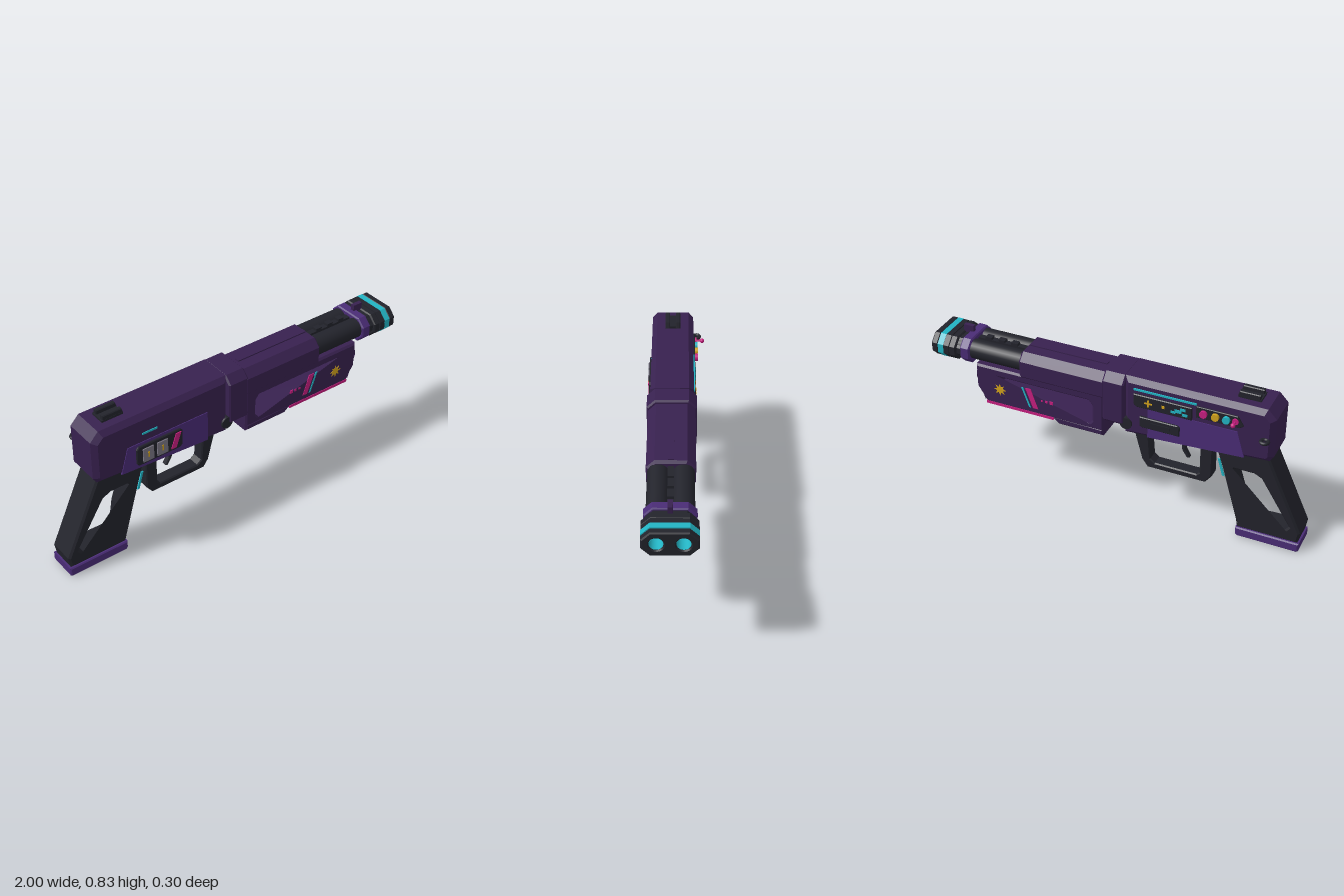
import * as THREE from 'three';

const mat = (name, color) => {
  const m = new THREE.MeshStandardMaterial({ color });
  m.name = name;
  return m;
};

export function createModel() {
  const purple = mat('deep purple', 0x38214f);
  const violet = mat('violet', 0x4a2c76);
  const black = mat('charcoal', 0x22232b);
  const teal = mat('teal', 0x22b4c4);
  teal.side = THREE.DoubleSide;
  const pink = mat('pink', 0xc81f80);
  const gold = mat('gold', 0xd4a41c);
  const grey = mat('grey', 0x7a7684);

  const model = new THREE.Group();
  model.name = 'toyBlaster';
  const body = new THREE.Group();
  body.name = 'body';
  body.position.z = 0.017;
  model.add(body);

  const add = (name, geo, material, x = 0, y = 0, z = 0) => {
    const mesh = new THREE.Mesh(geo, material);
    mesh.name = name;
    mesh.position.set(x, y, z);
    body.add(mesh);
    return mesh;
  };
  const vecs = pts => pts.map(p => new THREE.Vector2(p[0], p[1]));
  const extrude = (shape, depth, bevel) => new THREE.ExtrudeGeometry(shape, {
    depth: depth - 2 * bevel, bevelEnabled: bevel > 0, bevelThickness: bevel,
    bevelSize: bevel, bevelOffset: -bevel, bevelSegments: 1, curveSegments: 20,
  }).translate(0, 0, bevel - depth / 2);

  // Side outline (x, y) given thickness across z
  const profile = (name, pts, width, bevel, material, hole, z = 0) => {
    const shape = new THREE.Shape(vecs(pts));
    if (hole) shape.holes.push(new THREE.Path(vecs(hole)));
    return add(name, extrude(shape, width, bevel), material, 0, 0, z);
  };
  const box = (name, x0, x1, y0, y1, z0, z1, material) =>
    add(name, new THREE.BoxGeometry(x1 - x0, y1 - y0, z1 - z0), material,
      (x0 + x1) / 2, (y0 + y1) / 2, (z0 + z1) / 2);
  // Chamfered cross-section run along x
  const section = (name, x0, x1, y0, y1, half, ct, cb, bevel, material, bores) => {
    const shape = new THREE.Shape(vecs([
      [-half + cb, y0], [half - cb, y0], [half, y0 + cb], [half, y1 - ct],
      [half - ct, y1], [-half + ct, y1], [-half, y1 - ct], [-half, y0 + cb]]));
    if (bores) for (const s of [-1, 1])
      shape.holes.push(new THREE.Path().absarc(s * 0.06, 0.71, 0.033, 0, Math.PI * 2, true));
    return add(name, extrude(shape, x1 - x0, bevel).rotateY(Math.PI / 2), material, (x0 + x1) / 2);
  };
  const rod = (name, r, len, axis, x, y, z, material, sides = 20) => {
    const g = new THREE.CylinderGeometry(r, r, len, sides);
    if (axis === 'x') g.rotateZ(Math.PI / 2);
    if (axis === 'z') g.rotateX(Math.PI / 2);
    return add(name, g, material, x, y, z);
  };
  const bothSides = fn => [-1, 1].forEach(fn);

  // Receiver and collar
  profile('receiver', [[-0.82, 0.51], [-0.07, 0.465], [-0.07, 0.797], [-0.795, 0.797],
    [-0.84, 0.75], [-0.84, 0.54]], 0.216, 0.025, purple);
  section('collar', -0.075, 0.04, 0.515, 0.795, 0.123, 0.04, 0.02, 0.008, purple);
  rod('hingePin', 0.032, 0.236, 'z', -0.085, 0.535, 0, black);
  bothSides(s => profile('sidePanel', [[-0.70, 0.512], [-0.2, 0.483], [-0.2, 0.65], [-0.66, 0.65]],
    0.008, 0, violet, null, s * 0.108));

  // Rear sight
  box('rearSightBase', -0.745, -0.63, 0.79, 0.808, -0.04, 0.04, black);
  bothSides(s => profile('rearSightEar', [[-0.74, 0.80], [-0.625, 0.80], [-0.635, 0.83], [-0.74, 0.83]],
    0.024, 0.004, black, null, s * 0.027));

  // Upper forend, twin barrels and rib
  section('forend', 0.03, 0.505, 0.64, 0.78, 0.116, 0.04, 0.015, 0.012, purple);
  box('forendRib', 0.06, 0.49, 0.77, 0.786, -0.014, 0.014, purple);
  bothSides(s => rod('barrel', 0.052, 0.42, 'x', 0.69, 0.714, s * 0.058, black, 24));
  box('barrelRib', 0.5, 0.85, 0.70, 0.757, -0.015, 0.015, black);
  for (let x = 0.56; x < 0.78; x += 0.074)
    box('ribTooth', x, x + 0.036, 0.75, 0.77, -0.015, 0.015, black);

  // Front clamp and sight
  section('barrelClamp', 0.785, 0.838, 0.64, 0.778, 0.12, 0.04, 0.04, 0.006, violet);
  box('frontSight', 0.815, 0.87, 0.765, 0.81, -0.011, 0.011, purple);

  // Muzzle with teal-lined bores
  section('muzzleNeck', 0.836, 0.865, 0.655, 0.768, 0.115, 0.04, 0.04, 0, black);
  section('muzzleRear', 0.86, 0.90, 0.645, 0.776, 0.128, 0.042, 0.042, 0.006, black);
  section('muzzleMiddle', 0.90, 0.93, 0.645, 0.776, 0.128, 0.042, 0.042, 0, black, true);
  section('muzzleBand', 0.93, 0.962, 0.644, 0.777, 0.129, 0.042, 0.042, 0, teal, true);
  section('muzzleFront', 0.962, 1.0, 0.645, 0.776, 0.128, 0.042, 0.042, 0.006, black, true);
  bothSides(s => add('boreLining', new THREE.CylinderGeometry(0.032, 0.032, 0.094, 24, 1, true)
    .rotateZ(Math.PI / 2), teal, 0.947, 0.71, s * 0.06));

  // Open lower frame
  profile('lowerFrame', [[0.04, 0.44], [0.705, 0.44], [0.757, 0.52], [0.757, 0.655], [0.04, 0.655]],
    0.212, 0.01, purple,
    [[0.105, 0.49], [0.125, 0.465], [0.705, 0.465], [0.745, 0.585], [0.732, 0.605], [0.125, 0.605], [0.105, 0.58]]);
  profile('frameFoot', [[0.045, 0.41], [0.295, 0.41], [0.335, 0.45], [0.045, 0.45]], 0.204, 0.01, purple);
  bothSides(s => {
    box('frameTrim', 0.32, 0.705, 0.434, 0.449, s * 0.104 - 0.004, s * 0.104 + 0.004, pink);
    // Window decorations
    const z = s * 0.106;
    profile('pinkStripe', [[0.405, 0.475], [0.435, 0.475], [0.475, 0.585], [0.445, 0.585]], 0.004, 0, pink, null, z);
    profile('tealStripe', [[0.447, 0.475], [0.457, 0.475], [0.498, 0.585], [0.488, 0.585]], 0.004, 0, teal, null, z);
    [[0.33, 0.018], [0.357, 0.012], [0.383, 0.01]].forEach(([x, w]) =>
      box('pinkDot', x - w / 2, x + w / 2, 0.532 - w / 2, 0.532 + w / 2, z - 0.002, z + 0.002, pink));
    const star = [];
    for (let i = 0; i < 16; i++) {
      const r = i % 2 ? 0.017 : 0.035, a = i * Math.PI / 8;
      star.push([0.623 + r * Math.cos(a), 0.535 + r * Math.sin(a)]);
    }
    profile('goldStar', star, 0.004, 0, gold, null, z);
  });

  // Skeleton grip
  profile('grip', [[-1.0, 0.11], [-0.99, 0.05], [-0.675, 0.05], [-0.645, 0.21], [-0.553, 0.475],
    [-0.565, 0.51], [-0.81, 0.52]], 0.148, 0.01, black,
    [[-0.94, 0.135], [-0.91, 0.098], [-0.685, 0.09], [-0.663, 0.22], [-0.615, 0.375], [-0.645, 0.40],
      [-0.745, 0.40], [-0.785, 0.38]]);
  profile('gripBase', [[-1.0, 0.008], [-0.99, 0], [-0.68, 0], [-0.67, 0.01], [-0.67, 0.052], [-1.0, 0.052]],
    0.16, 0.006, violet);
  bothSides(s => profile('gripStreak', [[-0.597, 0.345], [-0.585, 0.345], [-0.558, 0.44], [-0.57, 0.44]],
    0.006, 0, teal, null, s * 0.074));

  // Trigger guard and trigger
  profile('triggerGuard', [[-0.515, 0.47], [-0.515, 0.285], [-0.48, 0.24], [-0.17, 0.24], [-0.14, 0.28],
    [-0.085, 0.48], [-0.17, 0.48], [-0.185, 0.295], [-0.21, 0.275], [-0.435, 0.275], [-0.45, 0.29],
    [-0.45, 0.47]], 0.068, 0.006, black);
  box('guardMount', -0.515, -0.45, 0.46, 0.50, -0.034, 0.034, black);
  profile('trigger', [[-0.385, 0.50], [-0.35, 0.50], [-0.343, 0.43], [-0.348, 0.385], [-0.375, 0.345],
    [-0.388, 0.35], [-0.365, 0.39], [-0.362, 0.43]], 0.03, 0.004, black);

  // Switch panel on the front side
  profile('switchPlate', [[-0.617, 0.54], [-0.605, 0.525], [-0.37, 0.525], [-0.355, 0.54], [-0.355, 0.622],
    [-0.367, 0.635], [-0.605, 0.635], [-0.617, 0.62]], 0.02, 0.004, black, null, 0.112);
  [-0.555, -0.475].forEach(x => {
    box('switchKey', x - 0.03, x + 0.03, 0.54, 0.617, 0.115, 0.128, grey);
    box('keyMark', x - 0.004, x + 0.004, 0.563, 0.595, 0.126, 0.130, gold);
  });
  profile('panelSlash', [[-0.425, 0.54], [-0.395, 0.54], [-0.365, 0.622], [-0.395, 0.622]], 0.006, 0, pink, null, 0.123);
  box('frontDash', -0.575, -0.49, 0.69, 0.70, 0.106, 0.112, teal);

  // Display, slot and controls on the rear side
  box('rearLine', -0.45, -0.125, 0.741, 0.751, -0.114, -0.106, teal);
  profile('display', [[-0.43, 0.65], [-0.14, 0.65], [-0.125, 0.665], [-0.125, 0.722], [-0.43, 0.722]],
    0.016, 0.004, black, null, -0.11);
  box('displayCrossBar', -0.225, -0.185, 0.682, 0.69, -0.121, -0.117, gold);
  box('displayCrossPost', -0.209, -0.201, 0.666, 0.706, -0.121, -0.117, gold);
  box('displayDot', -0.29, -0.275, 0.68, 0.695, -0.121, -0.117, gold);
  [[-0.36, 0.685, 0.018], [-0.385, 0.70, 0.014], [-0.395, 0.672, 0.014], [-0.335, 0.675, 0.012]].forEach(([x, y, w]) =>
    box('displayPixel', x - w, x + w, y - w / 2, y + w / 2, -0.121, -0.117, teal));
  profile('slotCover', [[-0.37, 0.54], [-0.17, 0.54], [-0.16, 0.55], [-0.16, 0.60], [-0.36, 0.60], [-0.37, 0.59]],
    0.02, 0.004, black, null, -0.112);
  box('slotKey', -0.32, -0.22, 0.56, 0.58, -0.126, -0.12, black);
  profile('controlStrip', [[-0.69, 0.69], [-0.67, 0.675], [-0.45, 0.675], [-0.45, 0.738], [-0.66, 0.738]],
    0.012, 0.003, black, null, -0.11);
  [[-0.49, pink], [-0.55, gold], [-0.605, teal]].forEach(([x, m]) =>
    rod('button', 0.019, 0.018, 'z', x, 0.708, -0.122, m, 16));
  rod('stickCollar', 0.016, 0.01, 'z', -0.65, 0.71, -0.119, pink, 16);
  rod('stickShaft', 0.005, 0.03, 'z', -0.65, 0.71, -0.135, pink, 10);
  add('stickBall', new THREE.SphereGeometry(0.012, 14, 10), pink, -0.65, 0.71, -0.154);

  // Strap loop
  add('strapLoop', new THREE.TorusGeometry(0.018, 0.009, 8, 18).rotateX(Math.PI / 2), black, -0.80, 0.643, -0.125);

  return model;
}
